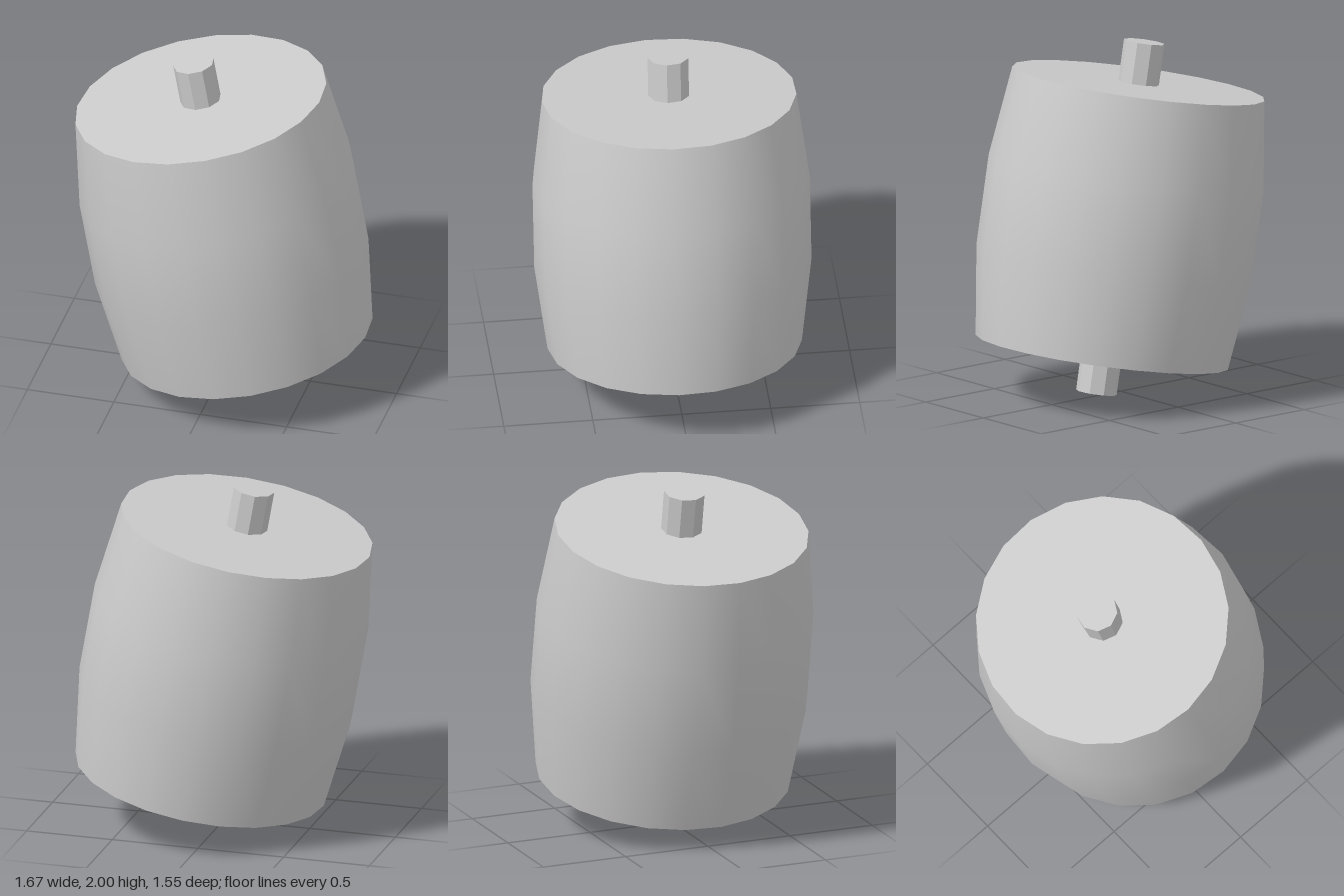
import * as THREE from 'three';

export function createModel() {
  const model = new THREE.Group();
  model.name = 'tiltedBarrel';
  const grey = new THREE.MeshStandardMaterial({ color: 0xcccccc });
  grey.name = 'grey';

  const SIDES = 21, HALF = 0.762, END_R = 0.713, MID_R = 0.777;

  // Everything leans about z around its centre
  const body = new THREE.Group();
  body.name = 'leaningBody';
  body.position.y = 1;
  body.rotation.z = THREE.MathUtils.degToRad(10.1);
  model.add(body);

  const add = (name, geometry, parent = body) => {
    const mesh = new THREE.Mesh(geometry, grey);
    mesh.name = name;
    parent.add(mesh);
    return mesh;
  };

  // Smooth bulging wall
  const profile = [
    [END_R, -HALF], [MID_R, -HALF / 3], [MID_R, HALF / 3], [END_R, HALF],
  ].map(([r, y]) => new THREE.Vector2(r, y));
  add('barrelWall', new THREE.LatheGeometry(profile, SIDES));

  // Flat ends; the circle is turned so its corners meet the wall
  for (const side of [1, -1]) {
    const cap = add(side > 0 ? 'topEnd' : 'bottomEnd',
      new THREE.CircleGeometry(END_R, SIDES, -side * Math.PI / 2));
    cap.rotation.x = -side * Math.PI / 2;
    cap.position.y = side * HALF;
  }

  // Faceted axle through the middle
  const axle = new THREE.CylinderGeometry(0.116, 0.116, 1.99, 9).toNonIndexed();
  axle.computeVertexNormals();
  add('axle', axle);

  return model;
}
